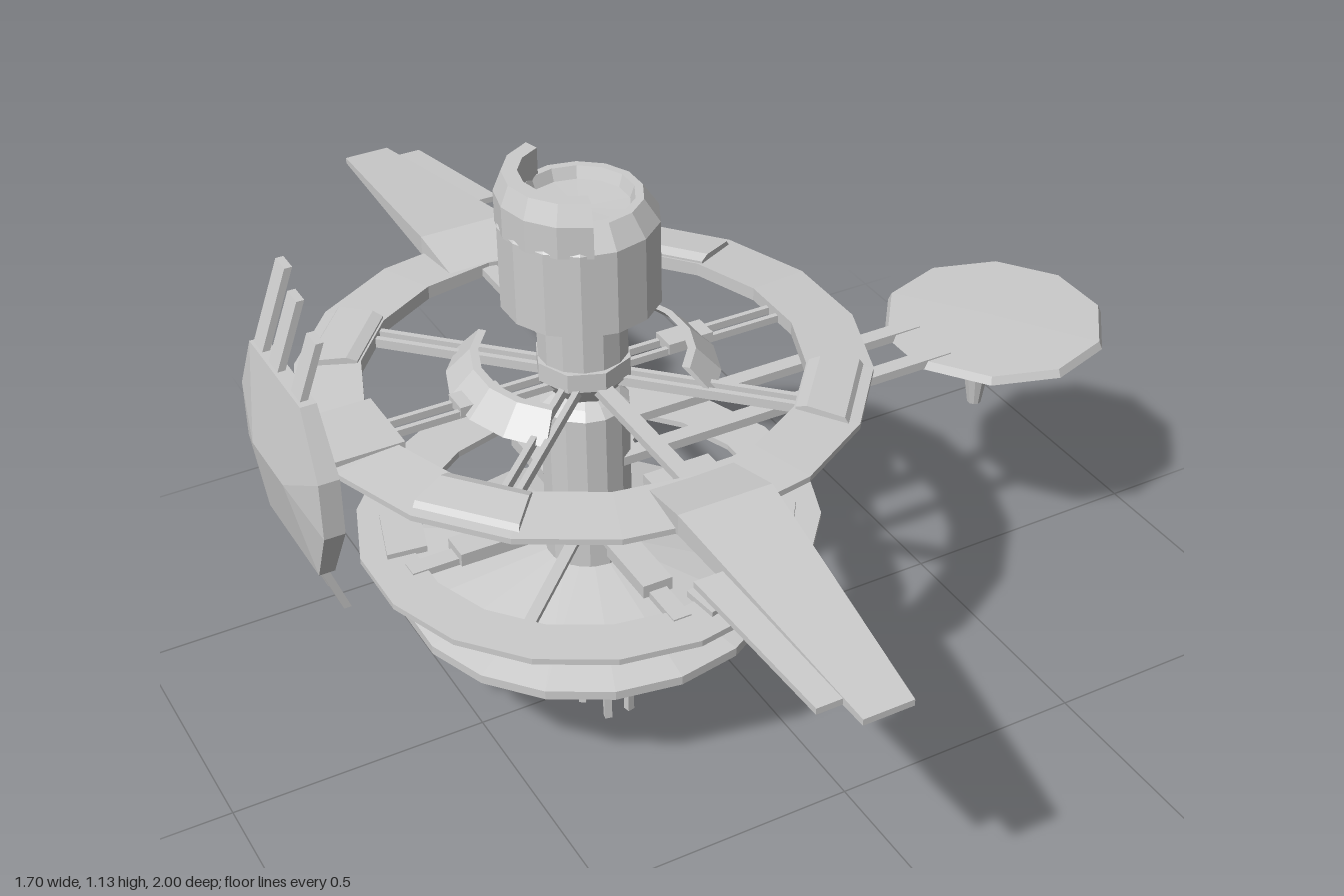
import * as THREE from 'three';
import { ConvexGeometry } from 'three/addons/geometries/ConvexGeometry.js';

const mat = new THREE.MeshStandardMaterial({ color: 0xcccccc, flatShading: true, side: THREE.DoubleSide });
const TAU = Math.PI * 2, rad = THREE.MathUtils.degToRad;
const AXIS = -0.26; // x of the central column

function add(parent, name, geo, x = 0, y = 0, z = 0) {
  const m = new THREE.Mesh(geo, mat);
  m.name = name;
  m.position.set(x, y, z);
  parent.add(m);
  return m;
}

const points = (p) => p.map(([x, y]) => new THREE.Vector2(x, y));

function turned(parent, name, profile, sides, x = 0) {
  return add(parent, name, new THREE.LatheGeometry(points(profile), sides), x);
}

// closed rectangle profile for rings
const rect = (ri, ro, y0, y1) => [[ri, y0], [ro, y0], [ro, y1], [ri, y1], [ri, y0]];

// part of a turned ring with closed ends; angle is measured from +x towards -z
function sector(parent, name, profile, midDeg, halfDeg, sides) {
  const g = new THREE.Group();
  g.name = name;
  const start = rad(90 + midDeg - halfDeg), span = rad(halfDeg * 2);
  add(g, name + 'Body', new THREE.LatheGeometry(points(profile), sides, start, span));
  for (const phi of [start, start + span]) {
    add(g, name + 'End', new THREE.ShapeGeometry(new THREE.Shape(points(profile)))).rotation.y = phi - Math.PI / 2;
  }
  parent.add(g);
  return g;
}

// radial bar between two radii
function spoke(parent, name, deg, r0, r1, y, width, height, side = 0) {
  const a = rad(deg), r = (r0 + r1) / 2;
  const m = add(parent, name, new THREE.BoxGeometry(r1 - r0, height, width),
    Math.cos(a) * r + Math.sin(a) * side, y, -Math.sin(a) * r + Math.cos(a) * side);
  m.rotation.y = a;
  return m;
}

function hull(parent, name, pts) {
  return add(parent, name, new ConvexGeometry(pts.map((p) => new THREE.Vector3(...p))));
}

function buildCore(core) {
  turned(core, 'column', [[0.082, 0.3], [0.082, 0.67], [0.065, 0.685], [0.04, 0.7], [0.04, 0.77], [0.082, 0.775], [0.082, 0.86]], 14);
  turned(core, 'hub', [[0, 0.69], [0.05, 0.69], [0.088, 0.735], [0.088, 0.772], [0, 0.772]], 8);
  turned(core, 'head', [[0.08, 0.854], [0.09, 0.854], [0.143, 0.886], [0.143, 1.045], [0.115, 1.087],
    [0.1, 1.087], [0.092, 1.065], [0, 1.06]], 14);
  sector(core, 'headCollar', [[0.1, 1.04], [0.143, 1.04], [0.143, 1.1], [0.128, 1.137], [0.1, 1.137], [0.1, 1.04]], 180, 74, 6);

  // lower dish with hollow underside
  turned(core, 'lowerDish', [[0, 0.24], [0.1, 0.24], [0.11, 0.205], [0.125, 0.205], [0.165, 0.243],
    [0.358, 0.265], [0.358, 0.283], [0.082, 0.35]], 18);

  // hanging rods
  const bottoms = [0.023, 0.07, 0.045, 0.003];
  for (let i = 0; i < 14; i++) {
    const a = (i / 14) * TAU, low = bottoms[i <= 3 ? i : i <= 7 ? 7 - i : i <= 10 ? i - 7 : 14 - i];
    add(core, 'rod', new THREE.BoxGeometry(0.014, 0.25 - low, 0.014),
      Math.cos(a) * 0.103, (0.25 + low) / 2, Math.sin(a) * 0.103).rotation.y = -a;
  }
}

function buildLowerRing(core) {
  turned(core, 'lowerRing', rect(0.335, 0.43, 0.405, 0.417), 18);
  for (const mid of [135, -45]) sector(core, 'lowerRingPlate', rect(0.31, 0.385, 0.414, 0.427), mid, 38, 4);
  for (let i = 0; i < 4; i++) {
    spoke(core, 'lowerSpoke', i * 90, 0.07, 0.36, 0.413, 0.035, 0.014);
    spoke(core, 'lowerSpokeCover', i * 90, 0.13, 0.27, 0.423, 0.058, 0.026);
    spoke(core, 'lowerDiagonalSpoke', i * 90 + 45, 0.07, 0.35, 0.411, 0.022, 0.01);
  }
}

function buildUpperRing(core) {
  turned(core, 'upperRing', [[0.395, 0.72], [0.5, 0.72], [0.515, 0.727], [0.515, 0.738], [0.395, 0.746], [0.395, 0.72]], 18);
  for (const deg of [40, 140, 220, 320]) {
    sector(core, 'ringPad', [[0.4, 0.735], [0.5, 0.735], [0.49, 0.75], [0.42, 0.757], [0.4, 0.75], [0.4, 0.735]], deg, 11, 1);
    const diagonal = deg < 180 ? (deg < 90 ? 45 : 135) : (deg < 270 ? 225 : 315);
    for (const s of [-1, 1]) spoke(core, 'diagonalSpoke', diagonal, 0.06, 0.41, 0.73, 0.011, 0.018, s * 0.013);
  }
  for (const deg of [0, 180]) {
    // curved inner bands and the paired bars through them
    sector(core, 'innerBand', [[0.235, 0.728], [0.245, 0.728], [0.2, 0.775], [0.185, 0.775], [0.235, 0.728]], deg, 48, 5);
    spoke(core, 'bandBracket', deg, 0.16, 0.25, 0.735, 0.05, 0.02);
    for (const s of [-1, 1]) spoke(core, 'straightSpoke', deg, 0.06, 0.41, 0.728, 0.01, 0.014, s * 0.016);
    spoke(core, 'wingSpoke', deg + 90, 0.06, 0.42, 0.73, 0.03, 0.016);
  }
}

// wing along +z, with a loose panel on its -x edge
function buildWing() {
  const wing = new THREE.Group();
  wing.name = 'wing';
  const pts = [];
  for (const [z, half, mid, lo, hi] of [[0.395, 0.08, 0, 0.73, 0.745], [0.508, 0.088, 0, 0.73, 0.77], [1, 0.046, 0, 0.686, 0.698]]) {
    for (const s of [-1, 1]) pts.push([mid + s * half, lo, z], [mid + s * half, hi, z]);
  }
  hull(wing, 'wingBlade', pts);
  hull(wing, 'wingPanel', [[-0.13, 0.635, 0.733], [-0.06, 0.635, 0.733], [-0.097, 0.95, 0.697], [-0.04, 0.95, 0.697]]
    .flatMap(([x, z, y]) => [[x, y - 0.006, z], [x, y + 0.006, z]]));
  return wing;
}

function buildShield(root) {
  const g = new THREE.Group();
  g.name = 'sideShield';
  const pts = [];
  for (const s of [-1, 1]) {
    pts.push([-0.854, 0.733, s * 0.07], [-0.772, 0.733, s * 0.09]);
    for (const v of [-1, 1]) {
      for (const x of [-0.824, -0.795]) pts.push([x, 0.733 + v * 0.171, s * 0.115]);
      for (const x of [-0.828, -0.79]) pts.push([x, 0.733 + v * 0.055, s * 0.175]);
    }
  }
  hull(g, 'shieldPlate', pts);
  // prongs leaning inwards above and below
  for (const v of [-1, 1]) {
    for (const [z, k] of [[-0.09, 1], [-0.02, 0.85], [0.08, 0.7]]) {
      const prong = [];
      for (const [x, h] of [[-0.815, 0.16], [-0.815 + 0.058 * k, 0.16 + 0.157 * k]]) {
        for (const dx of [-0.007, 0.007]) for (const dz of [-0.02, 0.02]) prong.push([x + dx, 0.733 + v * h, z + dz]);
      }
      hull(g, 'prong', prong);
    }
  }
  add(g, 'shieldMount', new THREE.BoxGeometry(0.16, 0.024, 0.15), -0.715, 0.737, 0);
  root.add(g);
}

function buildOutrigger(root) {
  const g = new THREE.Group();
  g.name = 'outrigger';
  for (const s of [-1, 1]) add(g, 'armBeam', new THREE.BoxGeometry(0.7, 0.018, 0.032), 0.14, 0.558, s * 0.054);
  add(g, 'armBridge', new THREE.BoxGeometry(0.07, 0.012, 0.09), 0.29, 0.557, 0);
  add(g, 'armRoot', new THREE.BoxGeometry(0.1, 0.018, 0.14), -0.23, 0.558, 0);
  turned(g, 'outriggerDish', [[0, 0.495], [0.085, 0.495], [0.157, 0.511], [0.222, 0.548], [0.215, 0.564], [0, 0.568]], 10, 0.639);
  turned(g, 'outriggerSpindle', [[0, 0.377], [0.014, 0.377], [0.027, 0.461], [0.055, 0.464], [0.085, 0.495], [0.085, 0.512]], 10, 0.605);
  root.add(g);
}

export function createModel() {
  const root = new THREE.Group();
  root.name = 'spaceStation';
  const core = new THREE.Group();
  core.name = 'core';
  core.position.x = AXIS;
  root.add(core);
  buildCore(core);
  buildLowerRing(core);
  buildUpperRing(core);
  for (const turn of [0, Math.PI]) {
    const wing = buildWing();
    wing.rotation.y = turn;
    core.add(wing);
  }
  buildShield(root);
  buildOutrigger(root);
  return root;
}
